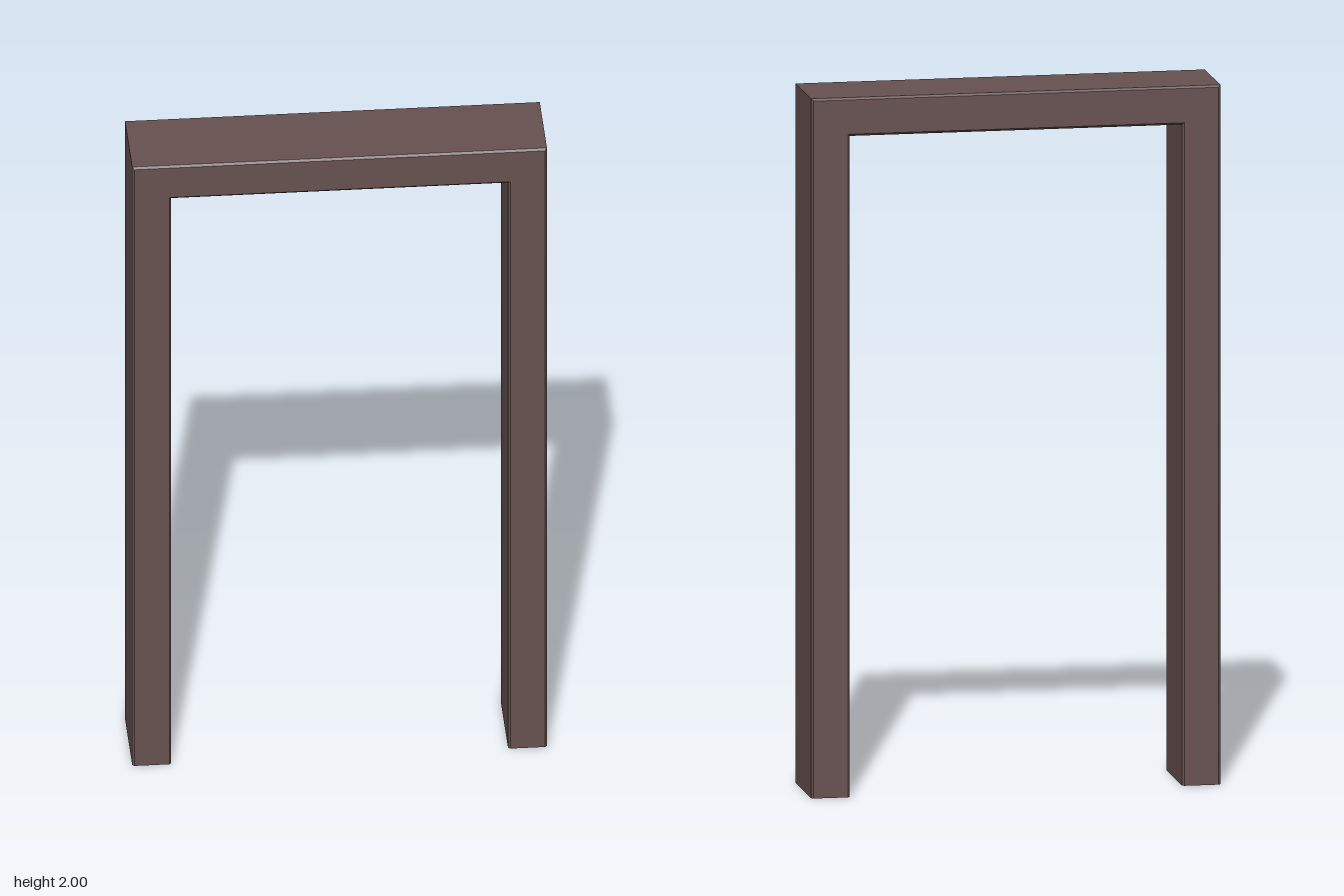
import * as THREE from 'three';

export function createModel() {
  const group = new THREE.Group();
  group.name = 'doorFrame';

  const outer = 0.585, inner = 0.475, top = 2, lintel = 1.89;
  const depth = 0.25, bevel = 0.006;

  // U-shaped outline: two posts joined by a lintel
  const outline = new THREE.Shape([
    [-outer, 0], [-inner, 0], [-inner, lintel], [inner, lintel],
    [inner, 0], [outer, 0], [outer, top], [-outer, top],
  ].map(([x, y]) => new THREE.Vector2(x, y)));

  // Softened front and back edges
  const geometry = new THREE.ExtrudeGeometry(outline, {
    depth: depth - 2 * bevel,
    bevelEnabled: true,
    bevelThickness: bevel,
    bevelSize: bevel,
    bevelOffset: -bevel,
    bevelSegments: 1,
  });
  geometry.translate(0, 0, -depth / 2 + bevel);

  // Feet are cut square on the floor
  const pos = geometry.attributes.position;
  for (let i = 0; i < pos.count; i++) {
    if (pos.getY(i) < 2 * bevel) pos.setY(i, 0);
  }
  geometry.computeVertexNormals();

  const material = new THREE.MeshStandardMaterial({ color: 0x665250 });
  const frame = new THREE.Mesh(geometry, material);
  frame.name = 'postsAndLintel';
  group.add(frame);
  return group;
}
